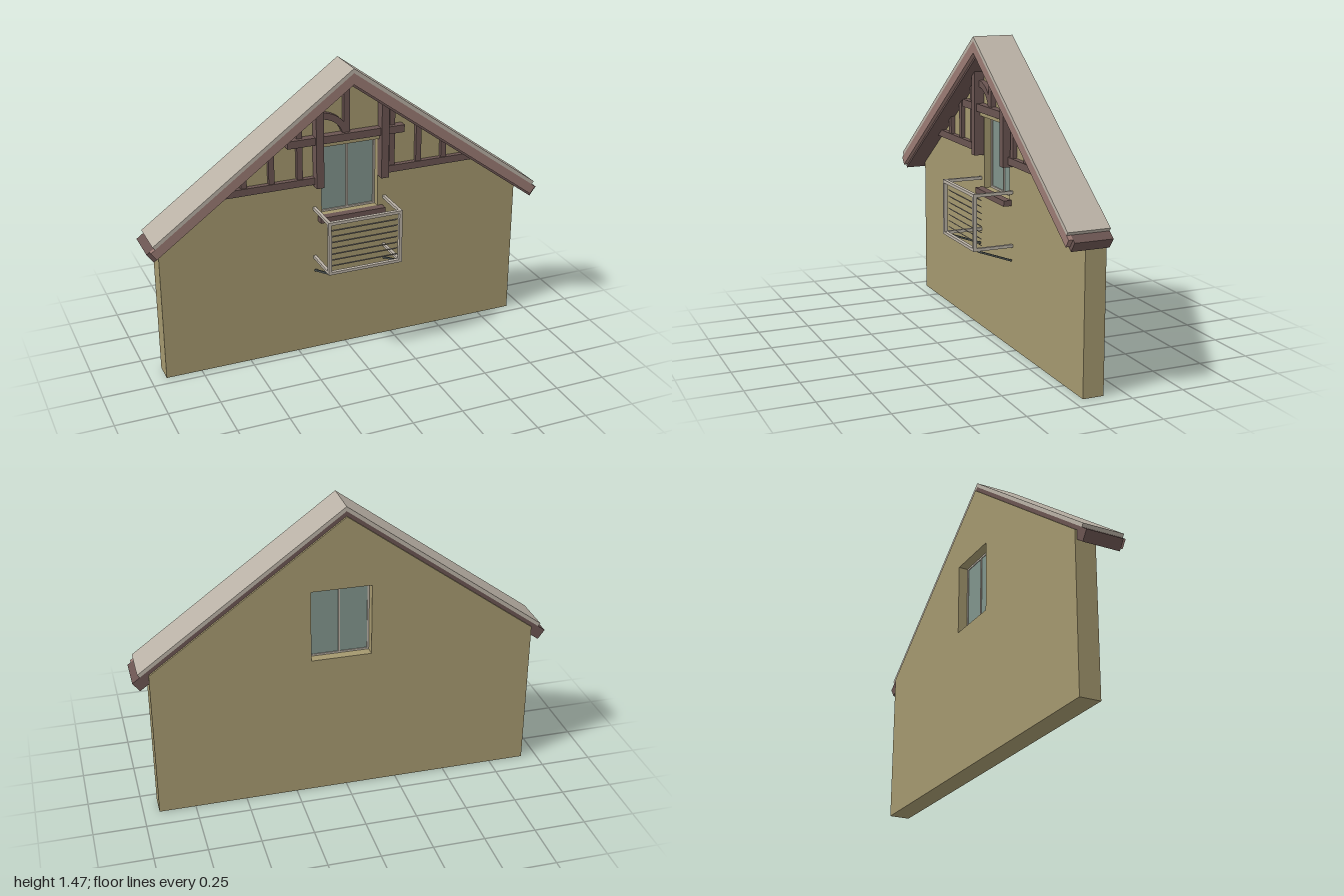
import * as THREE from 'three';

const mat = (name, color, side = THREE.FrontSide) => {
  const m = new THREE.MeshStandardMaterial({ color, side });
  m.name = name;
  return m;
};

export function createModel() {
  const plaster = mat('plaster', 0xa3976e);
  const timber = mat('dark timber', 0x6a5451);
  const board = mat('gable board', 0x9a7a73);
  const pale = mat('pale paint', 0xb9b1a5);
  const glass = mat('glass', 0x80938b);
  const metal = mat('dark metal', 0x4f5654);

  const model = new THREE.Group();
  model.name = 'gableWall';
  const SLOPE = 0.73;
  const ANGLE = Math.atan(SLOPE);

  const add = (name, geometry, material, parent = model) => {
    const m = new THREE.Mesh(geometry, material);
    m.name = name;
    parent.add(m);
    return m;
  };
  const group = (name) => {
    const g = new THREE.Group();
    g.name = name;
    model.add(g);
    return g;
  };
  // box given by its limits
  const box = (name, x0, x1, y0, y1, z0, z1, material, parent) => {
    const m = add(name, new THREE.BoxGeometry(x1 - x0, y1 - y0, z1 - z0), material, parent);
    m.position.set((x0 + x1) / 2, (y0 + y1) / 2, (z0 + z1) / 2);
    return m;
  };
  const toShape = (pts) => new THREE.Shape(pts.map(([x, y]) => new THREE.Vector2(x, y)));
  const slab = (name, shape, z0, z1, material, parent) => {
    const g = new THREE.ExtrudeGeometry(shape, { depth: z1 - z0, bevelEnabled: false, curveSegments: 10 });
    g.translate(0, 0, z0);
    return add(name, g, material, parent);
  };

  // wall with window opening
  const wall = toShape([[-0.925, 0], [0.925, 0], [0.925, 0.745], [0, 1.42], [-0.925, 0.745]]);
  const L = -0.12, R = 0.17, B = 0.715, T = 1.07;
  wall.holes.push(new THREE.Path([[L, B], [L, T], [R, T], [R, B]].map(([x, y]) => new THREE.Vector2(x, y))));
  slab('wall', wall, -0.15, -0.05, plaster);

  // roof layers: chevrons with ends cut square to the slope
  const chevron = (name, top, bottom, end, z0, z1, material) => {
    const thick = (top - bottom) * Math.cos(ANGLE);
    const xb = end - thick * Math.sin(ANGLE);
    const yt = top - SLOPE * end, yb = bottom - SLOPE * xb;
    slab(name, toShape([[0, top], [-end, yt], [-xb, yb], [0, bottom], [xb, yb], [end, yt]]), z0, z1, material);
  };
  chevron('roofCovering', 1.465, 1.443, 0.975, -0.14, 0.06, pale);
  chevron('gableBoard', 1.443, 1.388, 0.985, 0.04, 0.06, board);
  chevron('roofUnderside', 1.443, 1.375, 1.0, -0.14, 0.04, timber);

  // timber framing, cut to the roof line
  const frame = group('timberFrame');
  const roofY = (x) => 1.395 - SLOPE * Math.abs(x);
  const post = (name, x0, x1, y0, z1) =>
    slab(name, toShape([[x0, y0], [x1, y0], [x1, roofY(x1)], [x0, roofY(x0)]]), -0.05, z1, timber, frame);
  for (const s of [-1, 1]) {
    for (const x of [0.235, 0.375, 0.51]) post('stud', s * x - 0.014, s * x + 0.014, 0.92, -0.03);
    const inner = s < 0 ? 0.14 : 0.185;
    slab('crossBeam', toShape(s > 0
      ? [[inner, 0.89], [0.69, 0.89], [0.645, 0.925], [inner, 0.925]]
      : [[-0.69, 0.89], [-inner, 0.89], [-inner, 0.925], [-0.645, 0.925]]), -0.05, -0.025, timber, frame);
  }
  post('windowPost', -0.163, -0.125, 0.877, 0);
  post('windowPost', 0.168, 0.206, 0.877, 0);
  post('kingPost', -0.014, 0.014, 1.12, -0.025);
  box('collarBeam', -0.3, 0.29, 1.093, 1.13, -0.05, -0.01, timber, frame);

  // curved brace from the left post to the foot of the king post
  const arc = new THREE.Shape();
  arc.moveTo(-0.185, 1.21);
  arc.lineTo(-0.14, 1.21);
  arc.absellipse(-0.14, 1.11, 0.12, 0.1, Math.PI / 2, 0, true);
  arc.lineTo(0.01, 1.11);
  arc.absellipse(-0.14, 1.11, 0.15, 0.132, 0, Math.PI / 2, false);
  arc.lineTo(-0.185, 1.242);
  slab('curvedBrace', arc, -0.05, -0.025, timber, frame);

  // window
  const win = group('window');
  box('glassPane', L, R, B, T, -0.1, -0.092, glass, win);
  const bar = (x0, x1, y0, y1) => box('windowBar', x0, x1, y0, y1, -0.104, -0.085, pale, win);
  bar(L, L + 0.009, B, T);
  bar(R - 0.009, R, B, T);
  bar(0.02, 0.029, B, T);
  bar(L, R, B, B + 0.009);
  bar(L, R, T - 0.009, T);
  box('windowHead', -0.125, 0.168, T, 1.085, -0.05, -0.03, plaster, win);
  box('windowSill', -0.14, 0.195, 0.69, 0.717, -0.05, -0.01, timber, win);

  // balcony
  const balcony = group('balcony');
  for (const [y0, y1] of [[0.494, 0.508], [0.75, 0.765]]) {
    box('frontRail', -0.165, 0.212, y0, y1, 0.132, 0.15, pale, balcony);
    for (const x of [-0.165, 0.197]) box('sideRail', x, x + 0.015, y0, y1, -0.05, 0.132, pale, balcony);
  }
  for (const x of [-0.165, 0.197]) {
    box('cornerPost', x, x + 0.015, 0.508, 0.75, 0.132, 0.15, pale, balcony);
    // strut down to the wall
    const strut = add('strut', new THREE.BoxGeometry(0.009, 0.009, 0.182), metal, balcony);
    strut.position.set(x + 0.0075, 0.461, 0.04);
    strut.rotation.x = -Math.atan2(0.062, 0.17);
  }
  for (let i = 0; i < 8; i++) {
    const slat = add('slat', new THREE.BoxGeometry(0.35, 0.004, 0.028), pale, balcony);
    slat.position.set(0.0235, 0.524 + i * 0.0305, 0.115);
    slat.rotation.x = -0.6;
  }
  return model;
}
